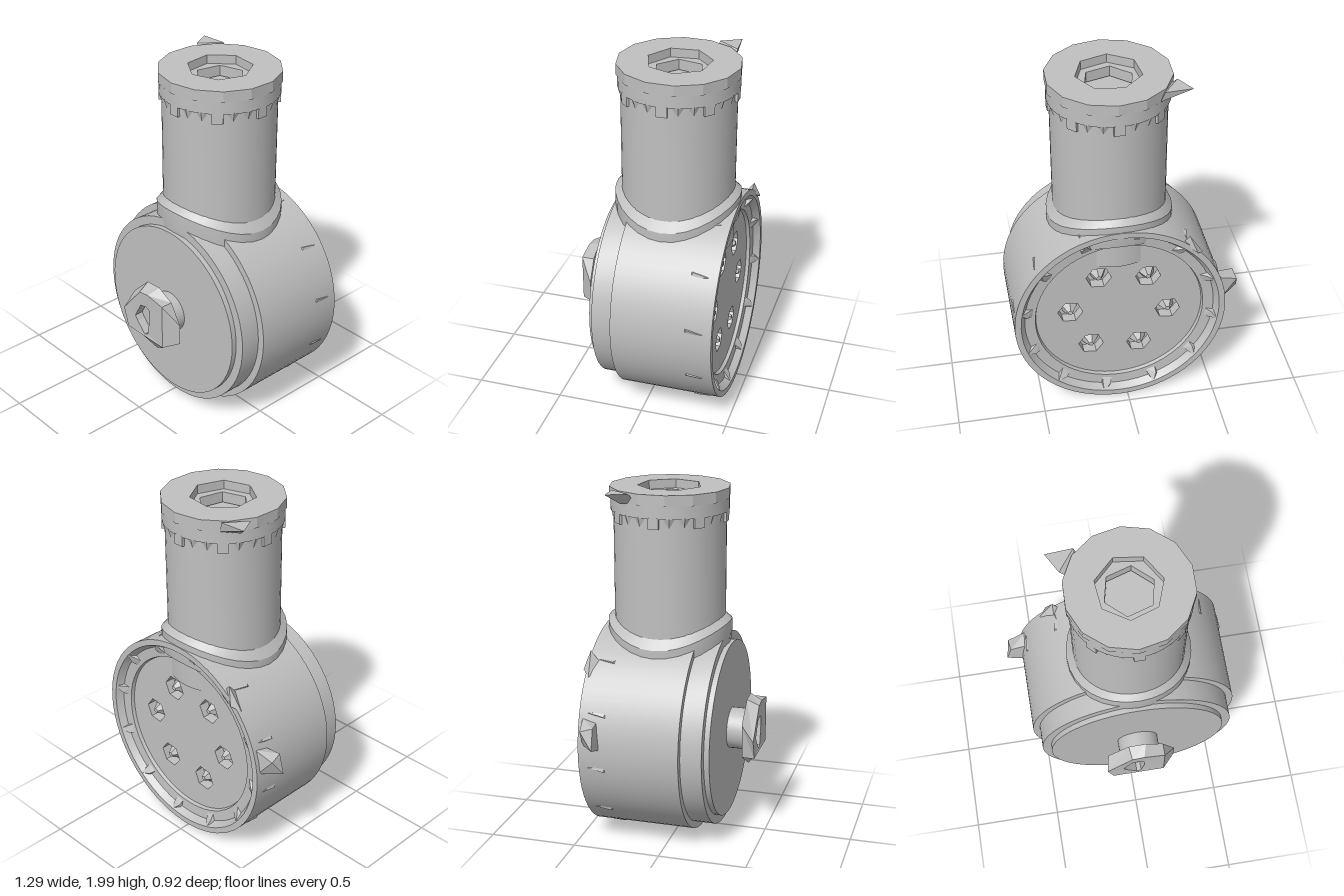
import * as THREE from 'three';
import { toCreasedNormals } from 'three/addons/utils/BufferGeometryUtils.js';
import { ConvexGeometry } from 'three/addons/geometries/ConvexGeometry.js';

const CX = 0.04, CY = 0.61;          // drum axis
const NX = 0.045, NZ = -0.085;       // neck axis
const TAU = Math.PI * 2;

export function createModel() {
  const group = new THREE.Group();
  const grey = new THREE.MeshStandardMaterial({ color: 0xc0c0c0 });
  grey.name = 'grey';

  const add = (name, geo, x = 0, y = 0, z = 0, crease = 0.5) => {
    const mesh = new THREE.Mesh(toCreasedNormals(geo, crease), grey);
    mesh.name = name;
    mesh.position.set(x, y, z);
    group.add(mesh);
    return mesh;
  };
  const lathe = (pts, sides) => new THREE.LatheGeometry(pts.map(p => new THREE.Vector2(...p)), sides);
  const convex = pts => new ConvexGeometry(pts.map(p => new THREE.Vector3(...p)));
  const ngon = (r, n, turn = 0, x = 0, y = 0) => Array.from({ length: n }, (_, i) =>
    new THREE.Vector2(x + r * Math.cos(turn + TAU * i / n), y + r * Math.sin(turn + TAU * i / n)));
  const plate = (outer, holes, depth) => {
    const shape = new THREE.Shape(outer);
    holes.forEach(h => shape.holes.push(new THREE.Path(h)));
    return new THREE.ExtrudeGeometry(shape, { depth, bevelEnabled: false });
  };
  // Skin over rings of equal point count, optionally closed at the end
  const loft = (rings, cap) => {
    const n = rings[0].length, pos = [];
    for (let k = 0; k < rings.length - 1; k++) for (let i = 0; i < n; i++) {
      const j = (i + 1) % n, [r, s] = [rings[k], rings[k + 1]];
      pos.push(...r[i], ...r[j], ...s[j], ...r[i], ...s[j], ...s[i]);
    }
    const e = rings[rings.length - 1];
    if (cap) for (let i = 1; i < n - 1; i++) pos.push(...e[0], ...e[i], ...e[i + 1]);
    const geo = new THREE.BufferGeometry();
    geo.setAttribute('position', new THREE.Float32BufferAttribute(pos, 3));
    return geo;
  };

  // Stepped drum with a recessed back
  add('drum', lathe([[0.47, -0.36], [0.48, -0.395], [0.54, -0.4], [0.565, -0.44], [0.6, -0.44], [0.6, 0.13],
    [0.56, 0.13], [0.56, 0.25], [0.51, 0.25], [0.51, 0.28], [0, 0.28]], 64).rotateX(Math.PI / 2), CX, CY, 0);

  // Back plate with six hexagonal sockets, each with a faceted stud
  const sockets = Array.from({ length: 6 }, (_, i) => {
    const a = 0.1 + TAU * i / 6;
    return [0.28 * Math.cos(a), 0.28 * Math.sin(a), a];
  });
  add('backPlate', plate(ngon(0.475, 40), sockets.map(([x, y, a]) => ngon(0.072, 6, a, x, y)), 0.07), CX, CY, -0.375);
  add('socketFloor', new THREE.CylinderGeometry(0.46, 0.46, 0.02, 32).rotateX(Math.PI / 2), CX, CY, -0.305);
  sockets.forEach(([x, y, a]) => {
    const stud = add('socketStud', new THREE.CylinderGeometry(0.015, 0.055, 0.07, 5).rotateX(-Math.PI / 2),
      CX + x, CY + y, -0.345, 0.1);
    stud.rotation.z = a;
  });

  // Twelve lugs on the inner rim and chips along the drum wall
  for (let i = 0; i < 12; i++) {
    const a = 0.15 + TAU * i / 12;
    const lug = add('rimLug', convex([[0.49, -0.03, -0.39], [0.49, 0.03, -0.39], [0.575, -0.03, -0.39],
      [0.575, 0.03, -0.39], [0.57, 0.015, -0.44], [0.53, -0.02, -0.42]]), CX, CY, 0, 0.1);
    lug.rotation.z = a;
    if (i === 3) continue;
    const chip = add('wallChip', convex([[0.59, -0.025, -0.28], [0.59, 0.025, -0.28], [0.59, 0, -0.42],
      [0.607, 0.015, -0.3], [0.603, 0, -0.38]]), CX, CY, 0, 0.1);
    chip.rotation.z = a;
  }
  add('sideSpur', convex([[-0.65, 0.66, -0.33], [-0.62, 0.78, -0.33], [-0.63, 0.76, -0.4], [-0.55, 0.63, -0.32],
    [-0.52, 0.78, -0.34], [-0.54, 0.65, -0.42], [-0.52, 0.8, -0.42]]), 0, 0, 0, 0.1);
  add('backSpur', convex([[-0.42, 1.0, -0.42], [-0.3, 1.08, -0.42], [-0.38, 1.03, -0.46],
    [-0.34, 1.13, -0.43], [-0.34, 1.02, -0.34]]), 0, 0, 0, 0.1);

  // Saddle flange that follows the drum's curve
  const saddle = (r, h) => Array.from({ length: 32 }, (_, i) => {
    const a = TAU * i / 32, dx = r * Math.sin(a);
    return [NX + dx, CY + Math.sqrt(h * h - dx * dx), NZ + r * Math.cos(a)];
  });
  add('saddleFlange', loft([saddle(0.345, 0.5), saddle(0.352, 0.57), saddle(0.352, 0.64), saddle(0.314, 0.67)], false));

  // Neck, collar and the well inside
  add('neck', lathe([[0.315, 0.95], [0.315, 1.87], [0.33, 1.87], [0.33, 1.94], [0.2, 1.94], [0.2, 1.88], [0, 1.88]], 48),
    NX, 0, NZ);
  add('neckRim', plate(ngon(0.338, 14, 0.2), [ngon(0.18, 7, 0.1)], 0.06).rotateX(-Math.PI / 2), NX, 1.94, NZ, 0.2);
  add('neckStep', plate(ngon(0.195, 7, 0.1), [ngon(0.14, 6, 0.3)], 0.06).rotateX(-Math.PI / 2), NX, 1.89, NZ, 0.2);
  add('rimSpur', convex([[-0.35, 2, -0.33], [-0.29, 2, -0.22], [-0.2, 2, -0.34], [-0.27, 1.94, -0.27],
    [-0.22, 1.94, -0.2], [-0.18, 1.94, -0.33]]), 0, 0, 0, 0.1);

  // Teeth under the collar, square ones between pointed ones
  for (let i = 0; i < 24; i++) {
    const a = TAU * i / 24;
    const geo = i % 3 === 0 ? new THREE.BoxGeometry(0.06, 0.06, 0.03)
      : new THREE.ConeGeometry(0.036, 0.06, 4).rotateX(Math.PI).scale(1, 1, 0.5);
    const tooth = add('collarTooth', geo, NX + 0.314 * Math.sin(a), 1.845, NZ + 0.314 * Math.cos(a), 0.1);
    tooth.rotation.y = a;
  }

  // Front knob on its stem, irregularly faceted with a small socket
  add('knobStem', new THREE.CylinderGeometry(0.118, 0.118, 0.14, 32).rotateX(Math.PI / 2), CX, CY, 0.33);
  const back = [[0.24, 0.65], [0.17, 0.77], [0.07, 0.82], [-0.03, 0.815], [-0.15, 0.7], [-0.13, 0.5], [0.04, 0.4], [0.24, 0.53]];
  const front = [[0.17, 0.65], [0.17, 0.77], [0.05, 0.79], [-0.02, 0.78], [-0.165, 0.61], [-0.13, 0.5], [0.0, 0.5], [0.17, 0.5]];
  const hole = [[0.055, 0.63], [0.05, 0.69], [0.03, 0.7], [-0.02, 0.69], [-0.07, 0.6], [-0.05, 0.57], [0.01, 0.51], [0.035, 0.52]];
  const at = (pts, z) => pts.map(p => [...p, z]);
  add('knob', loft([at(back, 0.385), at(front, 0.455), at(hole, 0.45), at(hole, 0.4)], true), 0, 0, 0, 0.1);
  add('knobBack', new THREE.ShapeGeometry(new THREE.Shape(back.map(p => new THREE.Vector2(...p)))).rotateY(Math.PI).scale(-1, 1, 1),
    0, 0, 0.385);
  const knobBack = group.children[group.children.length - 1];
  knobBack.geometry = toCreasedNormals(loft([at([...back].reverse(), 0)], true), 0.1);

  return group;
}
